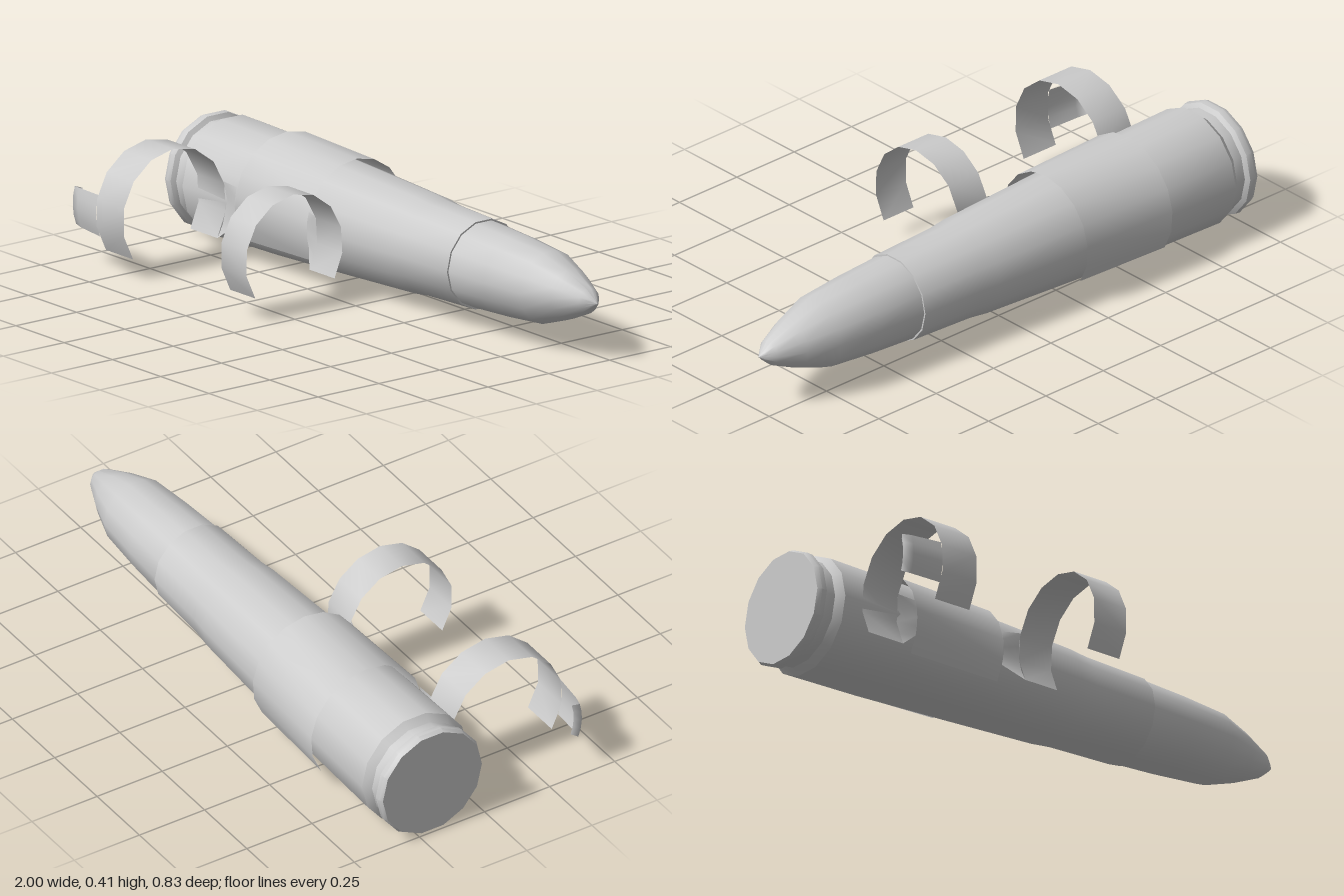
import * as THREE from 'three';
import { toCreasedNormals } from 'three/addons/utils/BufferGeometryUtils.js';

const CY = 0.21;          // height of the cartridge and link axes
const CZ = -0.2;          // cartridge axis
const LZ = 0.205;         // axis of the empty link loops
const rad = THREE.MathUtils.degToRad;

const metal = new THREE.MeshStandardMaterial({ color: 0xcccccc });
const sheet = new THREE.MeshStandardMaterial({ color: 0xcccccc, side: THREE.DoubleSide });

// Turned part along the x axis; profile entries are [x, radius]
function turned(name, profile) {
  const pts = profile.map(([x, r]) => new THREE.Vector2(r, x));
  const geo = toCreasedNormals(new THREE.LatheGeometry(pts, 14).rotateZ(-Math.PI / 2), rad(32));
  const mesh = new THREE.Mesh(geo, metal);
  mesh.name = name;
  mesh.position.set(0, CY, CZ);
  return mesh;
}

// Row of points on an arc at a given x; 0 degrees faces +z, 90 is up
function arc(x, cz, r, from, to, n) {
  return Array.from({ length: n + 1 }, (_, i) => {
    const a = rad(from + (to - from) * i / n);
    return [x, CY + r * Math.sin(a), cz + r * Math.cos(a)];
  });
}

// Thin sheet lofted through rows of points
function loft(name, rows) {
  const n = rows[0].length, index = [];
  for (let j = 0; j < rows.length - 1; j++) {
    for (let i = 0; i < n - 1; i++) {
      const a = j * n + i, b = a + n;
      index.push(a, b, a + 1, a + 1, b, b + 1);
    }
  }
  const geo = new THREE.BufferGeometry();
  geo.setAttribute('position', new THREE.Float32BufferAttribute(rows.flat(2), 3));
  geo.setIndex(index);
  geo.computeVertexNormals();
  const mesh = new THREE.Mesh(geo, sheet);
  mesh.name = name;
  return mesh;
}

export function createModel() {
  const model = new THREE.Group();
  model.name = 'linkedCartridge';

  // Case with rim and extractor groove, then the pointed bullet
  model.add(turned('case', [
    [-1, 0], [-1, 0.19], [-0.985, 0.197], [-0.965, 0.195], [-0.955, 0.18], [-0.92, 0.18],
    [-0.895, 0.202], [-0.6, 0.196], [-0.25, 0.182], [0.1, 0.166], [0.17, 0.158],
    [0.41, 0.15], [0.41, 0.142],
  ]));
  model.add(turned('bullet', [
    [0.4, 0.145], [0.58, 0.136], [0.75, 0.122], [0.86, 0.085], [0.955, 0.043], [0.985, 0.016], [1, 0],
  ]));

  const link = new THREE.Group();
  link.name = 'link';
  model.add(link);

  // Sleeve gripping the case, open underneath
  link.add(loft('sleeve', [
    arc(-0.61, CZ, 0.213, -33, 215, 12),
    arc(-0.25, CZ, 0.203, -33, 215, 12),
  ]));

  // Two open loops for the next cartridge, each joined to the sleeve by a web
  const loops = [
    { name: 'rear', outer: -0.82, inner: -0.68, r: 0.213, edge: -0.61, sleeveR: 0.213 },
    { name: 'front', outer: -0.06, inner: -0.19, r: 0.2, edge: -0.25, sleeveR: 0.203 },
  ];
  for (const p of loops) {
    link.add(loft(p.name + 'Loop', [
      arc(p.outer, LZ, p.r, 214, -37, 10),
      arc(p.inner, LZ, p.r, 214, -37, 10),
    ]));
    link.add(loft(p.name + 'Web', [
      arc(p.inner, LZ, p.r, 214, 162, 4),
      arc(p.edge, CZ, p.sleeveR, -17, 17, 4),
    ]));
  }

  // Tail tab on the rear loop, with its end hooked inward
  link.add(loft('tailTab', [
    arc(-0.82, LZ, 0.21, 17, -22, 4),
    arc(-0.93, LZ, 0.2, 17, -22, 4),
    arc(-0.965, LZ, 0.192, 17, -22, 4),
    arc(-0.95, LZ, 0.17, 17, -22, 4),
  ]));

  return model;
}
